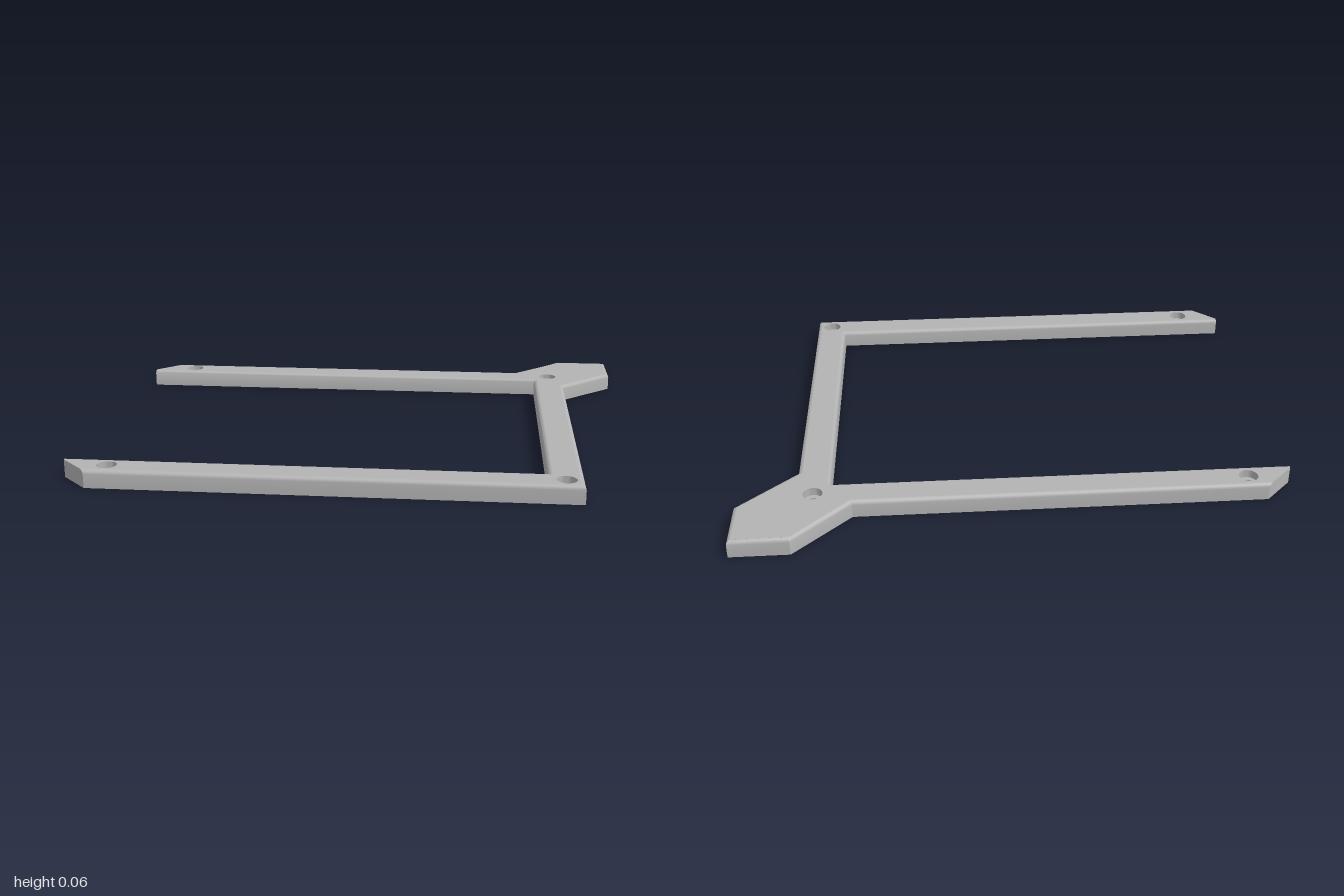
import * as THREE from 'three';
import { toCreasedNormals } from 'three/addons/utils/BufferGeometryUtils.js';

const H = 0.065, FILLET = 0.015;
const BORE = 0.035, HOLE = 0.017, BORE_DEPTH = 0.03, POCKET_DEPTH = 0.013;

// Frame outline as [x, z, inset]; inset says whether the edge starting here is rounded on top
const OUTLINE = [
  [-1, -0.49, 0], [-1, -0.51, 0], [-0.9, -0.61, 1], [0.59, -0.61, 1], [0.79, -0.81, 1],
  [1, -0.81, 1], [1, -0.61, 1], [0.79, -0.41, 1], [0.79, 0.81, 1], [-0.9, 0.81, 0],
  [-1, 0.71, 0], [-1, 0.69, 1], [0.67, 0.69, 1], [0.67, -0.49, 1],
];
const HOLES = [[-0.835, -0.55], [0.73, -0.55], [-0.835, 0.75], [0.73, 0.75]];
const POCKET = { x0: 0.79, x1: 0.981, z0: -0.797, z1: -0.614 };

// Outline moved inwards by d along its rounded edges
function insetOutline(d) {
  const n = OUTLINE.length;
  const lines = OUTLINE.map(([x, z, on], i) => {
    const [x2, z2] = OUTLINE[(i + 1) % n];
    const len = Math.hypot(x2 - x, z2 - z);
    const nx = -(z2 - z) / len, nz = (x2 - x) / len;
    return [nx, nz, nx * x + nz * z + on * d];
  });
  return lines.map(([a, b, c], i) => {
    const [p, q, r] = lines[(i + n - 1) % n];
    const det = p * b - q * a;
    return [(r * b - q * c) / det, (p * c - r * a) / det];
  });
}

// Side walls running up into the rounded top edge
function wallGeometry() {
  const rings = [{ y: 0, pts: insetOutline(0) }];
  for (let k = 0; k <= 4; k++) {
    const t = (k / 4) * Math.PI / 2;
    rings.push({
      y: H - FILLET + FILLET * Math.sin(t),
      pts: insetOutline(FILLET * (1 - Math.cos(t))),
    });
  }
  const pos = [];
  for (let k = 0; k + 1 < rings.length; k++) {
    const lo = rings[k], hi = rings[k + 1], n = lo.pts.length;
    for (let i = 0; i < n; i++) {
      const j = (i + 1) % n;
      const at = (r, m) => [r.pts[m][0], r.y, r.pts[m][1]];
      const a = at(lo, i), b = at(lo, j), A = at(hi, i), B = at(hi, j);
      pos.push(...a, ...A, ...b, ...b, ...A, ...B);
    }
  }
  const g = new THREE.BufferGeometry();
  g.setAttribute('position', new THREE.Float32BufferAttribute(pos, 3));
  return toCreasedNormals(g, 0.6);
}

// Flat face with round holes and an optional square opening; s flips z for the top side
function faceGeometry(d, radius, s, withPocket) {
  const shape = new THREE.Shape(insetOutline(d).map(([x, z]) => new THREE.Vector2(x, s * z)));
  for (const [x, z] of HOLES) {
    shape.holes.push(new THREE.Path().absarc(x, s * z, radius, 0, Math.PI * 2, true));
  }
  if (withPocket) {
    const { x0, x1, z0, z1 } = POCKET;
    shape.holes.push(new THREE.Path(
      [[x0, z0], [x1, z0], [x1, z1], [x0, z1]].map(([x, z]) => new THREE.Vector2(x, s * z))));
  }
  return new THREE.ShapeGeometry(shape, 16).rotateX(s * Math.PI / 2);
}

export function createModel() {
  const group = new THREE.Group();
  const grey = new THREE.MeshStandardMaterial({ color: 0xb3b3b3, side: THREE.DoubleSide });
  grey.name = 'grey';
  const add = (name, geometry, x = 0, y = 0, z = 0) => {
    const mesh = new THREE.Mesh(geometry, grey);
    mesh.name = name;
    mesh.position.set(x, y, z);
    group.add(mesh);
    return mesh;
  };

  add('frameWalls', wallGeometry());
  add('frameTop', faceGeometry(FILLET, BORE, -1, true), 0, H, 0);
  add('frameBottom', faceGeometry(0, HOLE, 1, false));

  // Counterbored screw holes
  const profile = [[BORE, H], [BORE, H - BORE_DEPTH], [HOLE, H - BORE_DEPTH], [HOLE, 0]]
    .map(([r, y]) => new THREE.Vector2(r, y));
  const bore = toCreasedNormals(new THREE.LatheGeometry(profile, 32), 0.6);
  for (const [x, z] of HOLES) add('screwHole', bore, x, 0, z);

  // Shallow square pocket in the corner pad
  const { x0, x1, z0, z1 } = POCKET;
  const w = x1 - x0, l = z1 - z0, cx = (x0 + x1) / 2, cz = (z0 + z1) / 2;
  add('pocketFloor', new THREE.PlaneGeometry(w, l).rotateX(-Math.PI / 2), cx, H - POCKET_DEPTH, cz);
  const y = H - POCKET_DEPTH / 2;
  for (const s of [-1, 1]) {
    add('pocketSide', new THREE.PlaneGeometry(l, POCKET_DEPTH).rotateY(-s * Math.PI / 2), cx + s * w / 2, y, cz);
    add('pocketEnd', new THREE.PlaneGeometry(w, POCKET_DEPTH).rotateY(s > 0 ? Math.PI : 0), cx, y, cz + s * l / 2);
  }
  return group;
}
